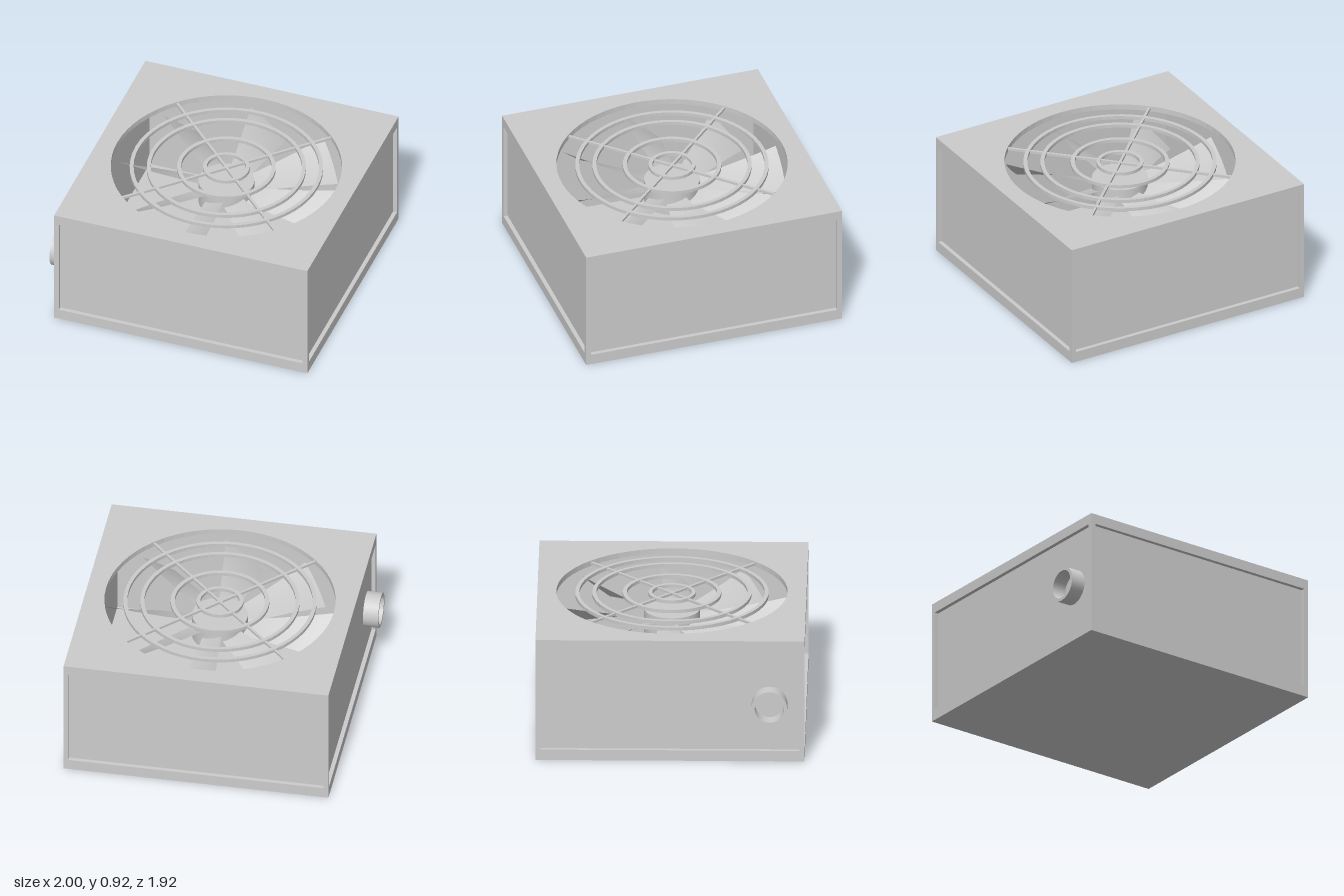
import * as THREE from 'three';
import { ParametricGeometry } from 'three/addons/geometries/ParametricGeometry.js';

const grey = new THREE.MeshStandardMaterial({ color: 0xcccccc, flatShading: true });
const smooth = new THREE.MeshStandardMaterial({ color: 0xcccccc });
const thin = new THREE.MeshStandardMaterial({ color: 0xcccccc, side: THREE.DoubleSide });

const SIZE = 1.92, HALF = SIZE / 2, HEIGHT = 0.92, HOLE = 0.825;

function add(parent, name, geometry, material, x = 0, y = 0, z = 0) {
  const mesh = new THREE.Mesh(geometry, material);
  mesh.name = name;
  mesh.position.set(x, y, z);
  parent.add(mesh);
  return mesh;
}

function rectangle(target, w, y0, y1) {
  target.moveTo(-w, y0);
  target.lineTo(w, y0);
  target.lineTo(w, y1);
  target.lineTo(-w, y1);
  target.closePath();
  return target;
}

// Square-section ring or pipe, turned around y
function ringGeometry(inner, outer, height, segments) {
  const shape = new THREE.Shape().absarc(0, 0, outer, 0, Math.PI * 2, false);
  shape.holes.push(new THREE.Path().absarc(0, 0, inner, 0, Math.PI * 2, true));
  return new THREE.ExtrudeGeometry(shape, {
    depth: height, bevelEnabled: false, curveSegments: segments,
  }).rotateX(-Math.PI / 2);
}

// Twisted blade along +x: widens and pitches more steeply towards the tip
function bladeGeometry() {
  return new ParametricGeometry((u, v, target) => {
    const half = 0.068 + 0.066 * u;
    const z = 0.028 + half * (2 * v - 1);
    const reach = Math.sqrt(0.82 * 0.82 - z * z);
    const x = 0.16 + (reach - 0.16) * u;
    const pitch = 0.3 + 0.55 * u;
    target.set(x, -(z - 0.028) * pitch, z);
  }, 8, 4);
}

export function createModel() {
  const model = new THREE.Group();
  model.name = 'fanUnit';
  const body = new THREE.Group();
  body.name = 'body';
  body.position.x = 0.04;
  model.add(body);

  // Base plate
  add(body, 'basePlate', new THREE.BoxGeometry(SIZE, 0.04, SIZE), grey, 0, 0.02, 0);

  // Four framed walls, each with a recessed panel
  const frameShape = rectangle(new THREE.Shape(), HALF, 0.04, 0.88);
  frameShape.holes.push(rectangle(new THREE.Path(), 0.925, 0.08, 0.845));
  const frameGeometry = new THREE.ExtrudeGeometry(frameShape, { depth: 0.035, bevelEnabled: false });
  for (let i = 0; i < 4; i++) {
    const wall = new THREE.Group();
    wall.name = 'wall';
    wall.rotation.y = i * Math.PI / 2;
    add(wall, 'wallFrame', frameGeometry, grey, 0, 0, HALF - 0.035);
    add(wall, 'wallPanel', new THREE.BoxGeometry(1.86, 0.84, 0.02), grey, 0, 0.46, HALF - 0.04);
    body.add(wall);
  }

  // Lid with round fan opening
  const lidShape = rectangle(new THREE.Shape(), HALF, -HALF, HALF);
  lidShape.holes.push(new THREE.Path().absarc(0, 0, HOLE, 0, Math.PI * 2, true));
  const lid = new THREE.ExtrudeGeometry(lidShape, { depth: 0.04, bevelEnabled: false, curveSegments: 32 });
  add(body, 'lid', lid.rotateX(-Math.PI / 2), grey, 0, HEIGHT - 0.04, 0);

  // Guard grille: concentric rings and two crossed bars
  const grille = new THREE.Group();
  grille.name = 'grille';
  body.add(grille);
  for (const [inner, outer] of [[0.14, 0.167], [0.323, 0.352], [0.54, 0.568], [0.662, 0.69]]) {
    add(grille, 'grilleRing', ringGeometry(inner, outer, 0.025, 28), grey, 0, HEIGHT - 0.03, 0);
  }
  for (const angle of [Math.PI / 4, -Math.PI / 4]) {
    const bar = add(grille, 'grilleBar', new THREE.BoxGeometry(HOLE * 2, 0.018, 0.018), grey, 0, HEIGHT - 0.018, 0);
    bar.rotation.y = angle;
  }

  // Fan: hub and eight blades
  const fan = new THREE.Group();
  fan.name = 'fan';
  fan.position.y = 0.72;
  body.add(fan);
  add(fan, 'hub', new THREE.CylinderGeometry(0.2, 0.2, 0.18, 32), smooth, 0, -0.02, 0);
  const blade = bladeGeometry();
  for (let i = 0; i < 8; i++) {
    add(fan, 'blade', blade, thin).rotation.y = i * Math.PI / 4;
  }

  // Pipe stub on the side wall
  const profile = [[0.105, 0], [0.128, 0], [0.128, 0], [0.128, 0.12], [0.128, 0.12], [0.105, 0.12], [0.105, 0.12], [0.105, 0]];
  const pipe = new THREE.LatheGeometry(profile.map(([r, y]) => new THREE.Vector2(r, y)), 32);
  add(model, 'pipe', pipe.rotateZ(Math.PI / 2), thin, -0.88, 0.432, 0.71);

  return model;
}
